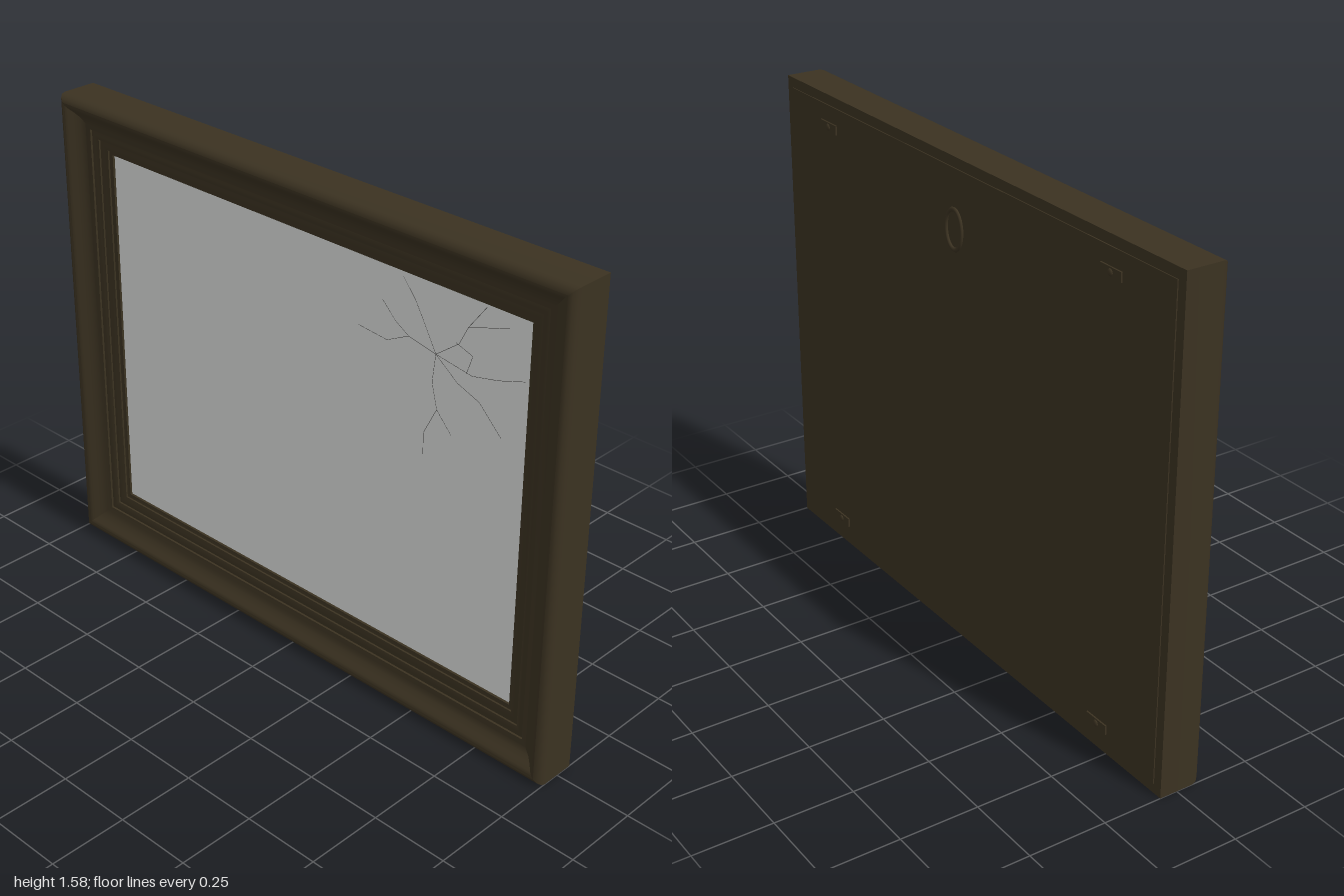
import * as THREE from 'three';
import { toCreasedNormals } from 'three/addons/utils/BufferGeometryUtils.js';

const W = 2, H = 1.575, CY = H / 2;

const mat = (name, color, side = THREE.FrontSide) => {
  const m = new THREE.MeshStandardMaterial({ color, side });
  m.name = name;
  return m;
};

// Sweeps a moulding profile of [inset, z] points round a mitred rectangle
function mitredFrame(profile) {
  const pos = [];
  const signs = [[-1, -1], [1, -1], [1, 1], [-1, 1]];
  const point = (c, [d, z]) => [signs[c][0] * (W / 2 - d), CY + signs[c][1] * (H / 2 - d), z];
  for (let s = 0; s < 4; s++) {
    const e = (s + 1) % 4;
    profile.forEach((p, i) => {
      const q = profile[(i + 1) % profile.length];
      const a = point(s, p), b = point(e, p), c = point(e, q), d = point(s, q);
      pos.push(...a, ...b, ...c, ...a, ...c, ...d);
    });
  }
  const g = new THREE.BufferGeometry();
  g.setAttribute('position', new THREE.Float32BufferAttribute(pos, 3));
  return toCreasedNormals(g, 0.5);
}

export function createModel() {
  const root = new THREE.Group();
  root.name = 'pictureFrame';
  const wood = mat('dark wood', 0x3b3221);
  const glassMat = mat('pale glass', 0xdfe1e0);
  const crackMat = mat('crack grey', 0x4a4a48, THREE.DoubleSide);

  const add = (name, geo, m, x, y, z, parent = root) => {
    const mesh = new THREE.Mesh(geo, m);
    mesh.name = name;
    mesh.position.set(x, y, z);
    parent.add(mesh);
    return mesh;
  };

  // Moulding: rounded outer lip, cove, then stepped beads to the glass
  add('mouldedFrame', mitredFrame([
    [0, -0.058], [0, 0.057], [0.003, 0.07], [0.011, 0.08], [0.022, 0.085], [0.03, 0.084],
    [0.038, 0.079], [0.05, 0.067], [0.066, 0.055], [0.083, 0.048], [0.1, 0.045],
    [0.1, 0.038], [0.115, 0.04], [0.128, 0.036], [0.128, 0.03],
    [0.145, 0.031], [0.158, 0.027], [0.158, 0.021], [0.172, 0.02], [0.174, 0.004], [0.174, -0.058],
  ]), wood, 0, 0, 0);

  // Glass pane
  add('glass', new THREE.BoxGeometry(1.68, 1.25, 0.006), glassMat, 0, CY, 0.01);

  // Backing board
  add('backPanel', new THREE.BoxGeometry(1.94, 1.51, 0.012), wood, 0, CY, -0.0555);

  // Cracks spreading from one impact point, each a thin jagged ribbon
  const cracks = [
    [[0.5, 1.19], [0.4, 1.21], [0.32, 1.17], [0.21, 1.18]],
    [[0.4, 1.21], [0.35, 1.24], [0.3, 1.29]],
    [[0.5, 1.19], [0.45, 1.28], [0.42, 1.33], [0.375, 1.385]],
    [[0.5, 1.19], [0.58, 1.25], [0.61, 1.31], [0.67, 1.39]],
    [[0.61, 1.31], [0.67, 1.33], [0.75, 1.355]],
    [[0.5, 1.19], [0.63, 1.17], [0.72, 1.19], [0.81, 1.22]],
    [[0.5, 1.19], [0.58, 1.13], [0.66, 1.1], [0.74, 1.02]],
    [[0.5, 1.19], [0.49, 1.1], [0.51, 1.02], [0.465, 0.93], [0.465, 0.86]],
    [[0.51, 1.02], [0.565, 0.96]],
    [[0.57, 1.25], [0.63, 1.23], [0.61, 1.17]],
  ];
  const crackGroup = new THREE.Group();
  crackGroup.name = 'glassCracks';
  root.add(crackGroup);
  for (const path of cracks) {
    for (let i = 0; i < path.length - 1; i++) {
      const [x0, y0] = path[i], [x1, y1] = path[i + 1];
      const strip = add('crack', new THREE.PlaneGeometry(Math.hypot(x1 - x0, y1 - y0), 0.0013),
        crackMat, (x0 + x1) / 2, (y0 + y1) / 2, 0.0142, crackGroup);
      strip.rotation.z = Math.atan2(y1 - y0, x1 - x0);
    }
  }

  // Oval hanging ring
  const ring = add('hangingRing', new THREE.TorusGeometry(0.061, 0.007, 8, 40), wood, 0, 1.37, -0.08);
  ring.scale.set(0.66, 1, 0.7);

  // Four retaining clips, each a small plate with a domed screw
  for (const x of [-0.72, 0.72]) {
    for (const y of [0.095, 1.48]) {
      const clip = new THREE.Group();
      clip.name = 'retainingClip';
      clip.position.set(x, y, 0);
      root.add(clip);
      add('clipPlate', new THREE.BoxGeometry(0.09, 0.03, 0.005), wood, 0, 0, -0.0725, clip);
      const screw = add('clipScrew', new THREE.SphereGeometry(0.011, 12, 4, 0, Math.PI * 2, 0, Math.PI / 2),
        wood, 0, 0, -0.075, clip);
      screw.rotation.x = -Math.PI / 2;
      screw.scale.y = 0.5;
    }
  }
  return root;
}
